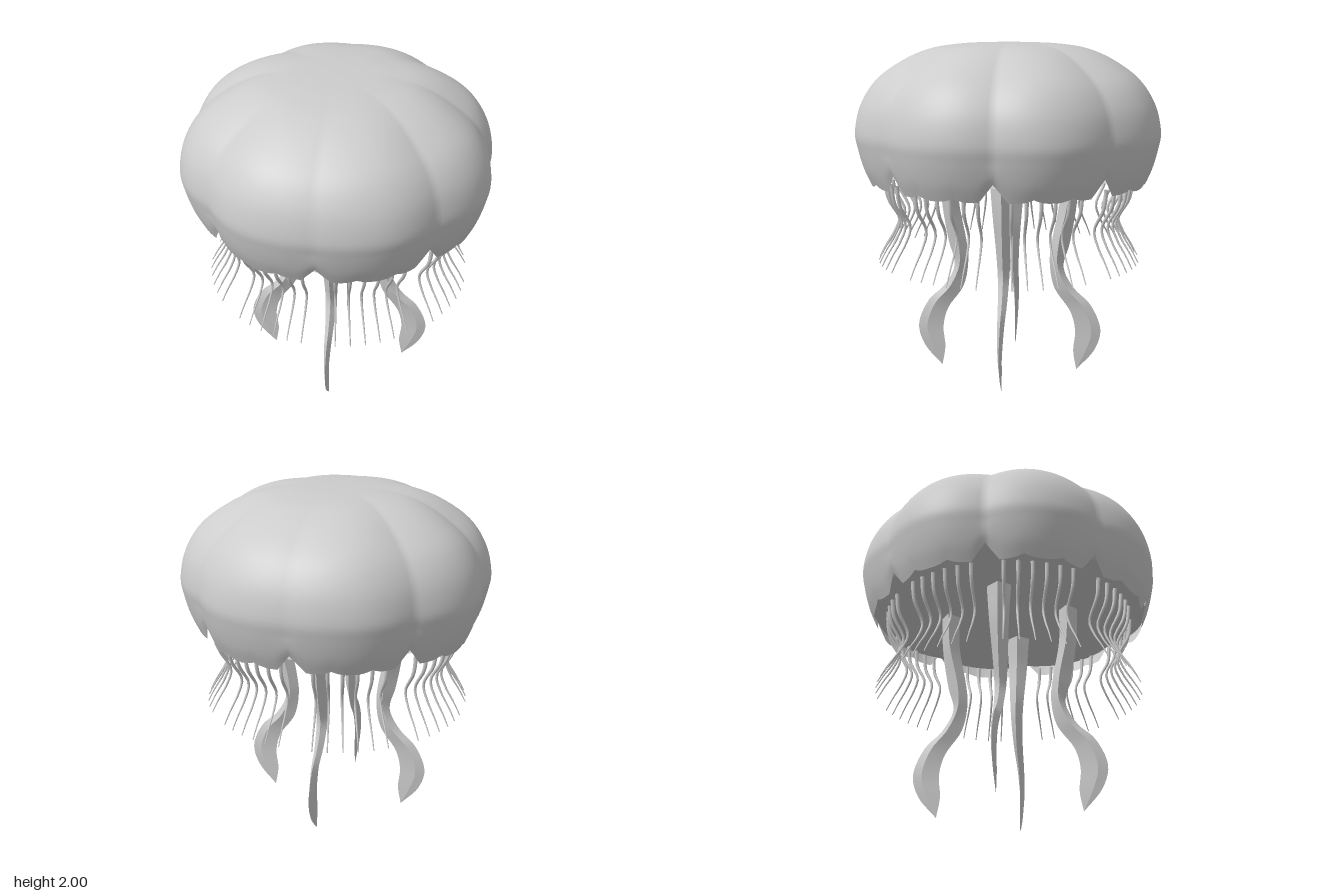
import * as THREE from 'three';
import { mergeVertices } from 'three/addons/utils/BufferGeometryUtils.js';

const DEG = Math.PI / 180;
const skin = new THREE.MeshStandardMaterial({ color: 0xcccccc, side: THREE.DoubleSide });
skin.name = 'pale grey';

// Depth of the nearest of the eight grooves at this angle, zero in mid-lobe
function groove(a) {
  const k = Math.abs(Math.round(a / (45 * DEG))) % 4;
  return [0.06, 0.05, 0.02, 0.05][k] * (1 - Math.abs(Math.sin(4 * a)));
}

// Height of the scalloped rim: a sharp notch between lobes, three scallops in each
function rimHeight(a) {
  const off = Math.abs(a / DEG - 45 * Math.round(a / (45 * DEG)));
  const notch = 0.1 * Math.max(0, 1 - off / 5.6);
  const dent = 0.022 * (1 - Math.abs(Math.sin(12 * a))) ** 1.5;
  return 1.187 + Math.max(notch, dent);
}

function bellGeometry() {
  const profile = [[0.82, 1.187], [0.86, 1.28], [0.893, 1.4], [0.905, 1.5], [0.868, 1.65],
    [0.775, 1.79], [0.62, 1.9], [0.46, 1.965], [0.3, 1.99], [0.15, 1.998], [0, 2]];
  const points = new THREE.SplineCurve(profile.map(([x, y]) => new THREE.Vector2(x, y))).getPoints(48);
  points[48].x = 0;
  const lathe = new THREE.LatheGeometry(points, 192);
  lathe.deleteAttribute('uv');
  lathe.deleteAttribute('normal');
  const pos = lathe.attributes.position;
  for (let i = 0; i < pos.count; i++) {
    const x = pos.getX(i), z = pos.getZ(i), a = Math.atan2(z, x);
    let y = pos.getY(i), r = Math.hypot(x, z);
    if (y < 1.4) {
      const raised = 1.4 - (1.4 - y) * (1.4 - rimHeight(a)) / (1.4 - 1.187);
      r += (raised - y) * 0.36;
      y = raised;
    }
    const fade = THREE.MathUtils.smoothstep(r, 0.15, 0.75);
    const g = groove(a) * fade;
    r *= 1 - g;
    if (y > 1.6) y -= g * 0.3 * THREE.MathUtils.smoothstep(y, 1.6, 1.85);
    pos.setXYZ(i, r * Math.cos(a), y, r * Math.sin(a));
  }
  const geo = mergeVertices(lathe, 1e-4);
  geo.computeVertexNormals();
  return geo;
}

// Flat underside following the lobes
function undersideGeometry() {
  const geo = new THREE.CircleGeometry(0.845, 96).rotateX(Math.PI / 2);
  const pos = geo.attributes.position;
  for (let i = 0; i < pos.count; i++) {
    const s = 1 - groove(Math.atan2(pos.getZ(i), pos.getX(i)));
    pos.setXYZ(i, pos.getX(i) * s, 1.265, pos.getZ(i) * s);
  }
  return geo;
}

// Thin tapering tube that swings in, then flares outwards
function tentacleGeometry() {
  const path = new THREE.CatmullRomCurve3([[0.74, 1.21], [0.725, 1.1], [0.66, 0.97], [0.69, 0.88],
    [0.745, 0.79], [0.785, 0.715]].map(([x, y]) => new THREE.Vector3(x, y, 0)));
  const n = 16, sides = 6;
  const geo = new THREE.TubeGeometry(path, n, 1, sides);
  const pos = geo.attributes.position, p = new THREE.Vector3();
  for (let i = 0; i < pos.count; i++) {
    const t = Math.floor(i / (sides + 1)) / n;
    const c = path.getPointAt(t);
    p.fromBufferAttribute(pos, i).sub(c).multiplyScalar(0.012 - 0.009 * t).add(c);
    pos.setXYZ(i, p.x, p.y, p.z);
  }
  return geo;
}

// Diamond-section arm: outer edge, side ridges and inner edge each follow a curve
function armGeometry() {
  const curve = (list) => new THREE.CatmullRomCurve3(list.map(([x, y, z = 0]) => new THREE.Vector3(x, y, z)));
  const outer = curve([[0.42, 1.265], [0.41, 1.05], [0.37, 0.8], [0.335, 0.65], [0.4, 0.52], [0.5, 0.42],
    [0.565, 0.26], [0.53, 0.13], [0.42, 0]]);
  const ridge = curve([[0.365, 1.265, 0.072], [0.355, 1.05, 0.058], [0.305, 0.8, 0.042], [0.3, 0.66, 0.034],
    [0.36, 0.52, 0.027], [0.46, 0.4, 0.02], [0.51, 0.25, 0.013], [0.475, 0.12, 0.007], [0.42, 0, 0]]);
  const inner = curve([[0.31, 1.265], [0.305, 1.05], [0.26, 0.8], [0.25, 0.68], [0.28, 0.52], [0.38, 0.37],
    [0.41, 0.25], [0.4, 0.12], [0.42, 0]]);
  const n = 40, verts = [], index = [];
  const flip = new THREE.Vector3(1, 1, -1);
  const section = (t) => {
    const r = ridge.getPoint(t);
    return [outer.getPoint(t), r, inner.getPoint(t), r.clone().multiply(flip)];
  };
  // Each face keeps its own vertices so the four edges stay sharp
  for (let f = 0; f < 4; f++) {
    const base = verts.length / 3;
    for (let i = 0; i <= n; i++) {
      const s = section(i / n);
      verts.push(...s[f].toArray(), ...s[(f + 1) % 4].toArray());
      if (i < n) {
        const a = base + 2 * i;
        index.push(a, a + 1, a + 2, a + 1, a + 3, a + 2);
      }
    }
  }
  const geo = new THREE.BufferGeometry();
  geo.setAttribute('position', new THREE.Float32BufferAttribute(verts, 3));
  geo.setIndex(index);
  geo.computeVertexNormals();
  return geo;
}

export function createModel() {
  const model = new THREE.Group();
  model.name = 'jellyfish';
  const add = (name, geo, parent = model, turn = 0) => {
    const mesh = new THREE.Mesh(geo, skin);
    mesh.name = name;
    mesh.rotation.y = turn;
    parent.add(mesh);
  };

  add('bell', bellGeometry());
  add('underside', undersideGeometry());

  // Four long arms hanging from the middle
  const arm = armGeometry();
  for (let i = 0; i < 4; i++) add('oralArm', arm, model, i * Math.PI / 2);

  // Six tentacles under each of the eight lobes
  const tentacles = new THREE.Group();
  tentacles.name = 'tentacles';
  model.add(tentacles);
  const tentacle = tentacleGeometry();
  for (let lobe = 0; lobe < 8; lobe++) {
    for (let j = 0; j < 6; j++) add('tentacle', tentacle, tentacles, (lobe * 45 + 7 + j * 6.2) * DEG);
  }
  return model;
}
